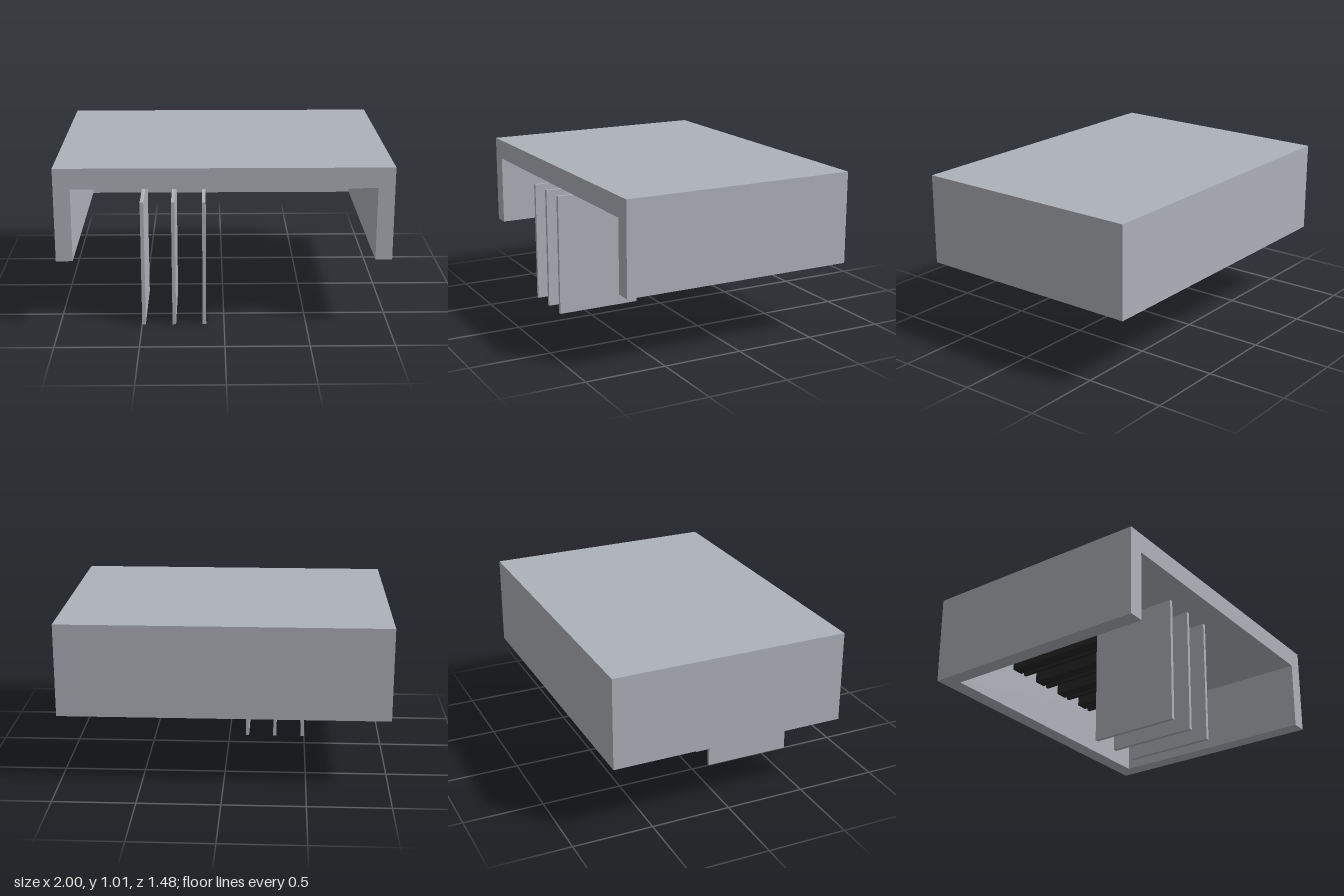
import * as THREE from 'three';

export function createModel() {
  const model = new THREE.Group();
  model.name = 'openCabinet';
  const grey = new THREE.MeshStandardMaterial({ color: 0xadb1b9 });
  grey.name = 'panelGrey';
  const black = new THREE.MeshStandardMaterial({ color: 0x262626 });
  black.name = 'railBlack';

  // Box given by its minimum and maximum corners
  function block(name, material, [x0, y0, z0], [x1, y1, z1], parent = model) {
    const mesh = new THREE.Mesh(new THREE.BoxGeometry(x1 - x0, y1 - y0, z1 - z0), material);
    mesh.position.set((x0 + x1) / 2, (y0 + y1) / 2, (z0 + z1) / 2);
    mesh.name = name;
    parent.add(mesh);
  }

  // Shell: abutting blocks leave seams along the walls and roof
  const xs = [-1, -0.9, 0.9, 1];
  const ys = [0.44, 0.885, 1.01];
  const zs = [-0.74, -0.64, 0.74];
  const shell = new THREE.Group();
  shell.name = 'shell';
  model.add(shell);
  for (let i = 0; i < 3; i++) {
    for (let j = 0; j < 2; j++) {
      for (let k = 0; k < 2; k++) {
        if (i === 1 && j === 0 && k === 1) continue; // open interior
        const name = j === 1 ? 'roofBlock' : k === 0 ? 'backWallBlock' : 'sideWall';
        block(name, grey, [xs[i], ys[j], zs[k]], [xs[i + 1], ys[j + 1], zs[k + 1]], shell);
      }
    }
  }

  // Hanging rack: mounting plate with six slotted channels
  const rack = new THREE.Group();
  rack.name = 'rack';
  model.add(rack);
  const back = -0.64, front = 0.18, top = 0.867, bottom = 0.725;
  block('mountingPlate', black, [-0.645, top, back], [0.645, 0.885, front], rack);
  for (let i = 0; i < 6; i++) {
    const x = -0.645 + i * 0.2325;
    block('channelWall', black, [x, bottom, back], [x + 0.024, top, front], rack);
    block('channelLip', black, [x + 0.024, bottom, back], [x + 0.08, bottom + 0.016, front], rack);
    block('channelOuterWall', black, [x + 0.105, bottom, back], [x + 0.128, top, front], rack);
  }

  // Upright panels hanging below the rack
  for (const x of [-0.489, -0.304, -0.12]) {
    block('hangingPanel', grey, [x - 0.011, 0, 0.12], [x + 0.011, 0.78, 0.67]);
  }
  return model;
}
